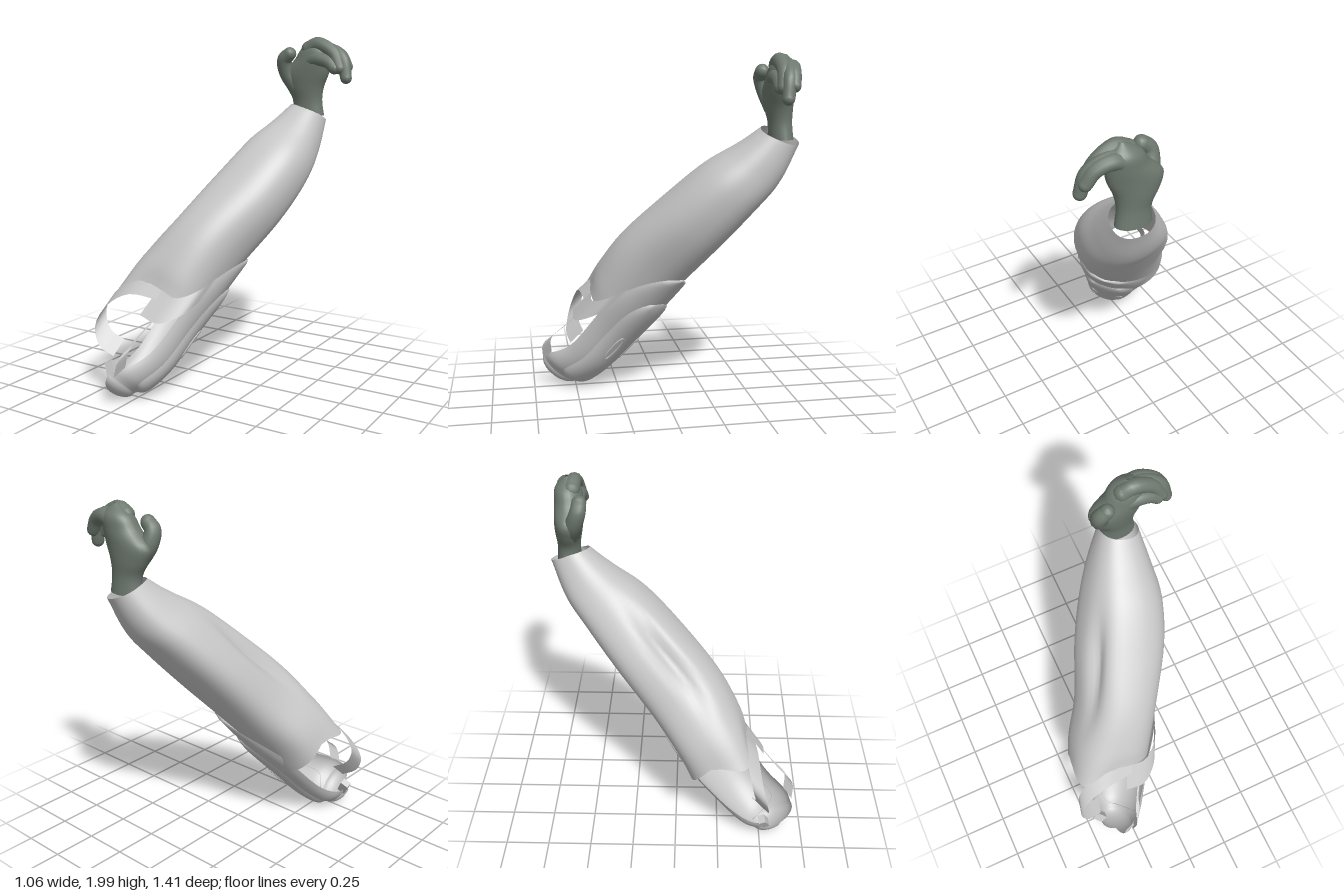
import * as THREE from 'three';
import { mergeVertices } from 'three/addons/utils/BufferGeometryUtils.js';

const V = (x, y, z) => new THREE.Vector3(x, y, z);
// forearm frame: D runs elbow to wrist, U sideways, N toward the upper front
const D = V(0.30, 0.735, -0.61).normalize();
const U = V(0.954, -0.231, 0.192).normalize();
const N = V(0, 0.64, 0.77).normalize();

export function createModel() {
  const model = new THREE.Group();
  const cloth = new THREE.MeshStandardMaterial({ color: 0xc6c6c6, side: THREE.DoubleSide });
  cloth.name = 'light grey';
  const glove = new THREE.MeshStandardMaterial({ color: 0x6e796f, side: THREE.DoubleSide });
  glove.name = 'grey green';

  function add(name, geometry, material) {
    const mesh = new THREE.Mesh(geometry, material);
    mesh.name = name;
    model.add(mesh);
    return mesh;
  }

  // smooth surface from a rule fn(s, t), both 0..1
  function surface(fn, ns, nt) {
    const pos = [], index = [];
    for (let i = 0; i <= ns; i++) {
      for (let j = 0; j <= nt; j++) pos.push(...fn(i / ns, j / nt).toArray());
    }
    for (let i = 0; i < ns; i++) {
      for (let j = 0; j < nt; j++) {
        const a = i * (nt + 1) + j, b = a + nt + 1;
        index.push(a, a + 1, b, b, a + 1, b + 1);
      }
    }
    let g = new THREE.BufferGeometry();
    g.setAttribute('position', new THREE.Float32BufferAttribute(pos, 3));
    g.setIndex(index);
    g = mergeVertices(g, 1e-5);
    g.computeVertexNormals();
    return g;
  }

  // sections [x, y, z, halfWidth, halfDepth] blended smoothly
  function sections(list) {
    const mid = new THREE.CatmullRomCurve3(list.map(r => V(r[0], r[1], r[2])), false, 'catmullrom');
    const size = new THREE.CatmullRomCurve3(list.map(r => V(r[3], r[4], 0)), false, 'catmullrom');
    return s => ({ c: mid.getPoint(s), r: size.getPoint(s) });
  }

  // sleeve: open tube with a squarer hem, a fold and a fuller outer side
  const sleeve = sections([
    [-0.23, 0.51, 0.245, 0.245, 0.205], [-0.18, 0.635, 0.19, 0.235, 0.215],
    [-0.07, 0.825, 0.055, 0.22, 0.225], [0.06, 1.065, -0.16, 0.235, 0.21],
    [0.15, 1.26, -0.345, 0.215, 0.19], [0.20, 1.4, -0.5, 0.165, 0.155],
    [0.24, 1.55, -0.605, 0.11, 0.105],
  ]);
  const soft = (x, e) => Math.sign(x) * Math.abs(x) ** e;
  const bell = (x, w) => Math.exp(-((x / w) ** 2));
  add('sleeve', surface((s, t) => {
    const { c, r } = sleeve(s);
    const th = (t % 1) * Math.PI * 2, co = Math.cos(th), si = Math.sin(th);
    const k = 1 - 0.2 * bell(th - 2.6, 0.25) * bell(s - 0.46 + (th - 2.6) * 0.15, 0.14)
      + 0.18 * bell(th - 3.6, 0.5) * Math.sin(Math.PI * s);
    const low = 1 - Math.min(1, s * 5);
    const e = 0.88 - (co < 0 && si > 0 ? 0.26 * low : 0);
    const hem = low * (0.24 * Math.max(0, -co * si) + 0.03 * Math.max(0, -si));
    const cuff = Math.max(0, s * 6 - 5) * -0.04 * si;
    return c.addScaledVector(U, r.x * soft(co, e) * k)
      .addScaledVector(N, r.y * soft(si, e) * k).addScaledVector(D, cuff - hem);
  }, 36, 48), cloth);

  // elbow guard: shell curled round the underside toward the heel
  const guard = sections([
    [-0.05, 0.87, 0.01, 0.24, 0.23], [-0.16, 0.66, 0.17, 0.25, 0.235],
    [-0.23, 0.46, 0.30, 0.22, 0.205], [-0.275, 0.27, 0.43, 0.18, 0.175],
    [-0.315, 0.165, 0.535, 0.14, 0.165], [-0.335, 0.11, 0.585, 0.09, 0.13],
  ]);
  const guardPoint = (s, phi, lift) => {
    const { c, r } = guard(s);
    return c.addScaledVector(U, (r.x + lift) * Math.sin(phi))
      .addScaledVector(N, -(r.y + lift) * Math.cos(phi));
  };
  const FACING = 0.72;
  const spread = s => (1.25 + 0.9 * s ** 3) * Math.sqrt(1 - (1 - Math.min(1, s / 0.36)) ** 2);
  add('elbowGuard', surface((s, t) => {
    const q = t * 2 - 1;
    return guardPoint(s, FACING + q * spread(s), 0.012 * (1 - q ** 6));
  }, 44, 28), cloth);
  // rounded heel closing the end of the guard
  add('heelCap', surface((s, t) => {
    const q = t * 2 - 1, { c } = guard(1), a = s * Math.PI / 2;
    return guardPoint(1, FACING + q * spread(1), 0.012 * (1 - q ** 6))
      .sub(c).multiplyScalar(Math.cos(a)).add(c).addScaledVector(D, -0.07 * Math.sin(a));
  }, 8, 28), cloth);

  // raised panel on the guard, widening toward the heel
  const panelLift = q => 0.01 + 0.024 * (1 - q ** 4);
  add('guardPanel', surface((s, t) => {
    const q = t * 2 - 1, end = Math.sqrt(Math.max(0, 1 - Math.abs(2 * s - 1) ** 5));
    const edge = Math.max(Math.abs(q), Math.abs(2 * s - 1) ** 3);
    return guardPoint(0.13 + 0.83 * s, FACING + q * end * (0.75 + 0.35 * s * s), panelLift(edge));
  }, 36, 20), cloth);

  // two slot rims on the panel
  for (const side of [-1, 1]) {
    const rim = [];
    for (let i = 0; i < 16; i++) {
      const a = i / 16 * Math.PI * 2;
      rim.push(guardPoint(0.45 + 0.075 * Math.cos(a), FACING + side * 0.34 + 0.09 * Math.sin(a), 0.033));
    }
    add('slotRim', new THREE.TubeGeometry(new THREE.CatmullRomCurve3(rim, true), 32, 0.006, 6, true), cloth);
  }

  // flat bands: a path swept along a width vector
  function band(name, pts, width) {
    const path = new THREE.CatmullRomCurve3(pts);
    add(name, surface((s, t) => path.getPoint(s).addScaledVector(width, t - 0.5), 20, 2), cloth);
  }
  band('sideStrap', [V(-0.15, 0.61, 0.41), V(-0.32, 0.62, 0.43), V(-0.46, 0.54, 0.45),
    V(-0.525, 0.42, 0.48), V(-0.48, 0.31, 0.5), V(-0.4, 0.26, 0.48)], V(0.02, 0.08, -0.08));
  band('frontFlap', [V(-0.2, 0.55, 0.46), V(-0.08, 0.52, 0.46), V(0.02, 0.56, 0.38), V(0.07, 0.62, 0.27)],
    D.clone().multiplyScalar(0.17));
  band('guardFin', [V(-0.14, 0.47, 0.5), V(-0.19, 0.38, 0.59), V(-0.22, 0.3, 0.67), V(-0.25, 0.2, 0.67)],
    V(0.04, 0.05, -0.05));
  const clip = add('heelClip', new THREE.BoxGeometry(0.05, 0.09, 0.04), cloth);
  clip.position.set(-0.425, 0.14, 0.52);
  clip.rotation.set(-0.4, 0, 0.5);

  // gloved hand: wrist and palm
  const palm = sections([
    [0.235, 1.53, -0.61, 0.1, 0.066], [0.23, 1.62, -0.605, 0.093, 0.064],
    [0.215, 1.7, -0.6, 0.12, 0.074], [0.22, 1.78, -0.595, 0.148, 0.08],
    [0.265, 1.86, -0.595, 0.115, 0.08], [0.285, 1.93, -0.6, 0.088, 0.068],
    [0.295, 1.985, -0.6, 0.012, 0.012],
  ]);
  add('palm', surface((s, t) => {
    const { c, r } = palm(s), th = (t % 1) * Math.PI * 2;
    return c.add(V(r.x * Math.cos(th), 0, -r.y * Math.sin(th)));
  }, 28, 24), glove);

  // tapered digits with rounded ends
  function digit(name, pts, radius, tip) {
    const path = new THREE.CatmullRomCurve3(pts.map(p => V(...p)));
    const steps = 20, sides = 12;
    const g = new THREE.TubeGeometry(path, steps, radius, sides);
    const p = g.attributes.position, v = V(0, 0, 0);
    for (let i = 0; i <= steps; i++) {
      const c = path.getPointAt(i / steps);
      const k = 1 + (tip / radius - 1) * i / steps;
      for (let j = 0; j <= sides; j++) {
        const n = i * (sides + 1) + j;
        v.fromBufferAttribute(p, n).sub(c).multiplyScalar(k).add(c);
        p.setXYZ(n, v.x, v.y, v.z);
      }
    }
    add(name, g, glove);
    add(name + 'Base', new THREE.SphereGeometry(radius, 12, 8), glove).position.copy(path.getPoint(0));
    add(name + 'Tip', new THREE.SphereGeometry(tip, 12, 8), glove).position.copy(path.getPoint(1));
  }
  digit('thumb', [[0.17, 1.7, -0.59], [0.113, 1.79, -0.555], [0.108, 1.86, -0.53], [0.145, 1.895, -0.525]], 0.058, 0.04);
  const fingers = [
    [[0.28, 1.89, -0.625], [0.36, 1.915, -0.625], [0.44, 1.885, -0.61], [0.485, 1.82, -0.6]],
    [[0.27, 1.91, -0.605], [0.38, 1.915, -0.6], [0.465, 1.86, -0.58], [0.495, 1.755, -0.565]],
    [[0.25, 1.925, -0.575], [0.31, 1.95, -0.57], [0.41, 1.9, -0.565], [0.46, 1.81, -0.55]],
    [[0.26, 1.85, -0.56], [0.31, 1.865, -0.55], [0.39, 1.845, -0.545], [0.43, 1.81, -0.54]],
  ];
  fingers.forEach(f => digit('finger', f, 0.046, 0.034));

  return model;
}
